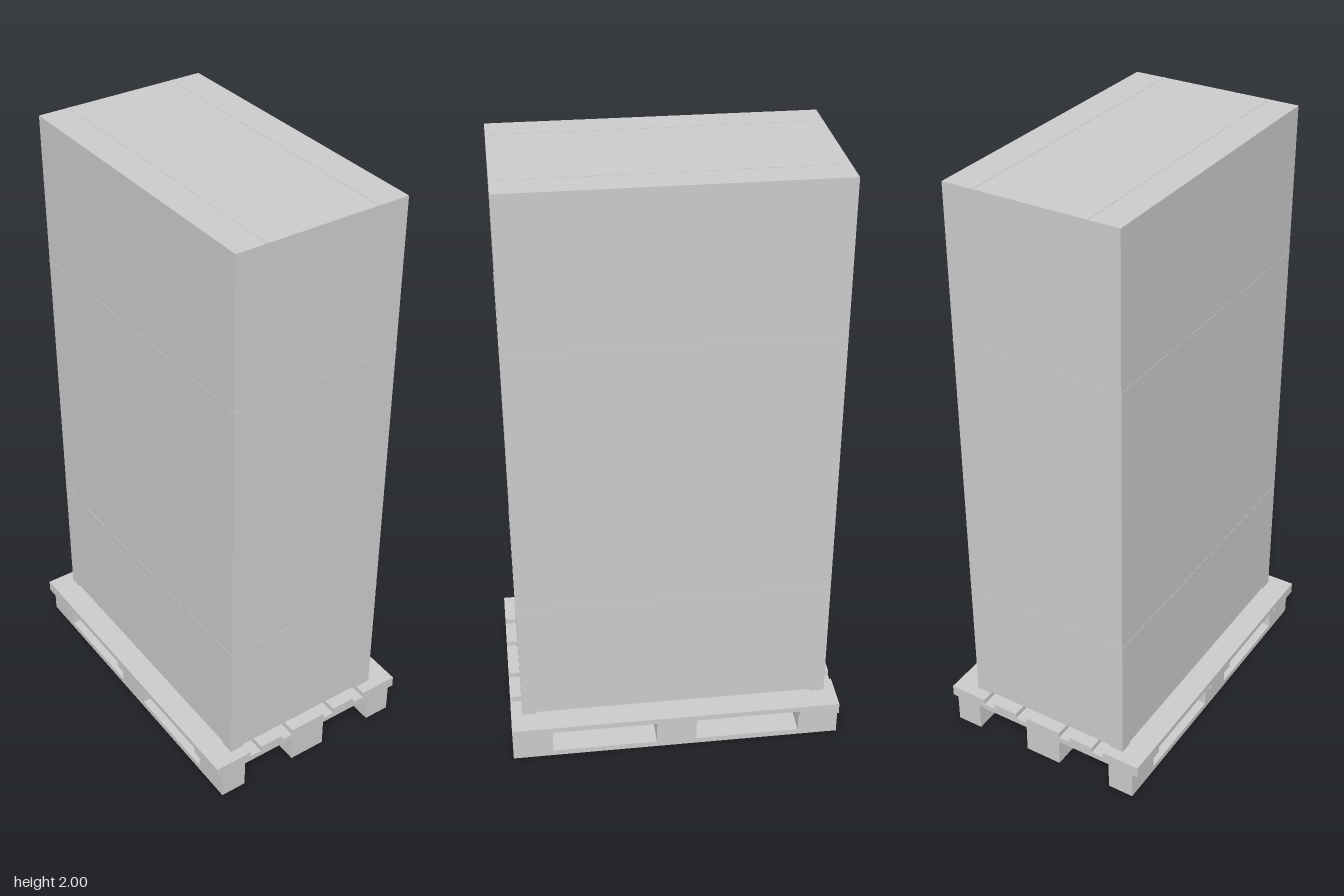
import * as THREE from 'three';

const material = new THREE.MeshStandardMaterial({ color: 0xcccccc, flatShading: true });

// Box given by its min and max on each axis
function slab(parent, name, [x0, x1], [y0, y1], [z0, z1]) {
  const mesh = new THREE.Mesh(new THREE.BoxGeometry(x1 - x0, y1 - y0, z1 - z0), material);
  mesh.position.set((x0 + x1) / 2, (y0 + y1) / 2, (z0 + z1) / 2);
  mesh.name = name;
  parent.add(mesh);
}

export function createModel() {
  const model = new THREE.Group();
  model.name = 'loadedPallet';

  const pallet = new THREE.Group();
  pallet.name = 'pallet';
  model.add(pallet);
  const fullZ = [-0.555, 0.555];
  const runnersX = [[-0.35, -0.26], [-0.065, 0.065], [0.26, 0.35]];
  const blocksZ = [[-0.555, -0.42], [-0.068, 0.068], [0.42, 0.555]];

  // Runners on the floor with three blocks each
  for (const x of runnersX) {
    slab(pallet, 'runner', x, [0, 0.02], fullZ);
    for (const z of blocksZ) slab(pallet, 'block', x, [0.02, 0.097], z);
  }

  // Cross boards over the blocks
  for (const z of blocksZ) slab(pallet, 'crossBoard', [-0.37, 0.37], [0.097, 0.117], z);

  // Deck boards with gaps between them
  const deckX = [[-0.37, -0.237], [-0.195, -0.107], [-0.067, 0.067], [0.107, 0.195], [0.237, 0.37]];
  for (const x of deckX) slab(pallet, 'deckBoard', x, [0.117, 0.136], fullZ);

  // Tall load, raised on small corner feet
  const load = new THREE.Group();
  load.name = 'load';
  model.add(load);
  slab(load, 'carton', [-0.29, 0.29], [0.144, 1.999], [-0.517, 0.517]);
  for (const sx of [-1, 1]) for (const sz of [-1, 1]) {
    const x = [0.24 * sx, 0.29 * sx].sort((a, b) => a - b);
    const z = [0.47 * sz, 0.517 * sz].sort((a, b) => a - b);
    slab(load, 'cornerFoot', x, [0.136, 0.144], z);
  }

  // Fine bands around the sides and along the top
  for (const y of [0.575, 1.5])
    slab(load, 'sideBand', [-0.291, 0.291], [y - 0.002, y + 0.002], [-0.518, 0.518]);
  for (const x of [-0.187, 0.187])
    slab(load, 'topBand', [x - 0.002, x + 0.002], [1.99, 2], [-0.517, 0.517]);

  return model;
}
